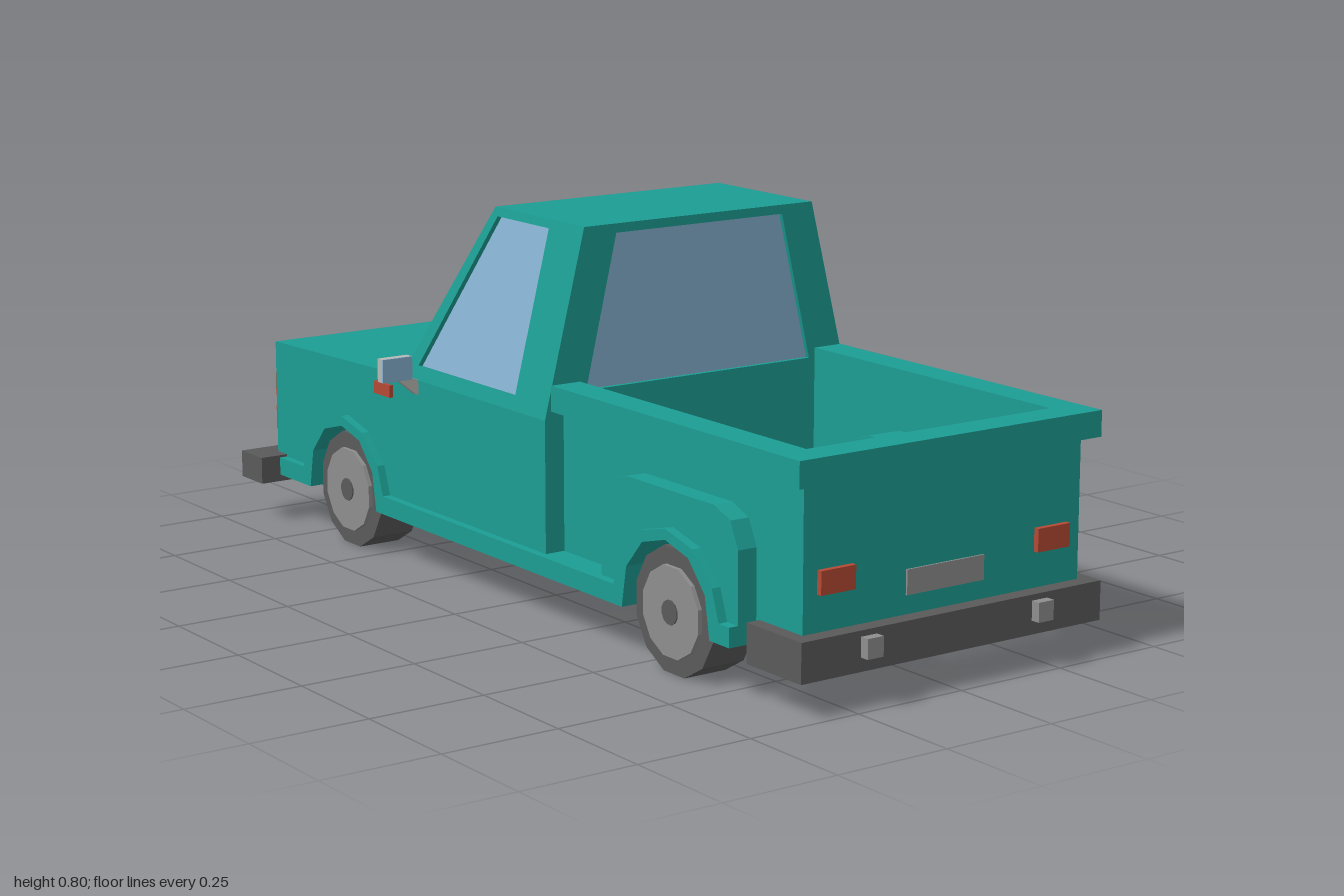
import * as THREE from 'three';

const mat = (name, color, extra = {}) => {
  const m = new THREE.MeshStandardMaterial({ color, ...extra });
  m.name = name;
  return m;
};

export function createModel() {
  const truck = new THREE.Group();
  truck.name = 'pickupTruck';
  const paint = mat('teal paint', 0x1c9d93);
  const glass = mat('blue glass', 0x86b0d0, { side: THREE.DoubleSide });
  const dark = mat('dark grey', 0x5a5a5a);
  const grey = mat('mid grey', 0x8e8e8e);
  const pale = mat('pale grey', 0xb8b8b4);
  const red = mat('red lens', 0xb54a35);

  const add = (name, geo, material) => {
    const mesh = new THREE.Mesh(geo, material);
    mesh.name = name;
    truck.add(mesh);
  };
  // Box given by its limits on each axis
  const box = (name, m, x0, x1, y0, y1, z0, z1) => {
    const g = new THREE.BoxGeometry(x1 - x0, y1 - y0, z1 - z0);
    add(name, g.translate((x0 + x1) / 2, (y0 + y1) / 2, (z0 + z1) / 2), m);
  };
  // The same box on both sides
  const pair = (name, m, x0, x1, ...rest) => {
    box(name + 'Left', m, x0, x1, ...rest);
    box(name + 'Right', m, -x1, -x0, ...rest);
  };
  // Side profile of [z, y] points, extruded from x0 to x1
  const profile = (name, m, pts, x0, x1) => {
    const shape = new THREE.Shape(pts.map(([z, y]) => new THREE.Vector2(-z, y)));
    const g = new THREE.ExtrudeGeometry(shape, { depth: x1 - x0, bevelEnabled: false });
    add(name, g.rotateY(Math.PI / 2).translate(x0, 0, 0), m);
  };
  const profilePair = (name, m, pts, x0, x1) => {
    profile(name + 'Left', m, pts, x0, x1);
    profile(name + 'Right', m, pts, -x1, -x0);
  };

  // Wheel arch outlines, from the rear of the arch to its front
  const REAR = 0.6, FRONT = -0.614, LOW = 0.105, SILL = 0.145;
  const mirrorArch = half => [...half, ...half.slice(0, -1).reverse().map(([z, y]) => [-z, y])];
  const inner = mirrorArch([[0.143, LOW], [0.128, 0.19], [0.075, 0.25], [0, 0.27]]);
  const outer = mirrorArch([[0.172, SILL], [0.15, 0.208], [0.088, 0.27], [0, 0.292]]);
  const at = (arch, z) => arch.map(([a, y]) => [a + z, y]);

  // Hood and lower cab
  profile('lowerBody', paint, [
    [0.165, SILL], ...at(outer, FRONT), [-0.935, SILL], [-0.935, 0.405], [-0.385, 0.42], [0.165, 0.42],
  ], -0.385, 0.385);

  // Sills and wheel arch flares in one ribbon along each side
  const low = [[0.805, LOW], ...at(inner, REAR), ...at(inner, FRONT), [-0.931, LOW]];
  const high = [[0.805, SILL], ...at(outer, REAR), ...at(outer, FRONT), [-0.931, SILL]];
  profilePair('sillAndFlares', paint, [...low, ...high.reverse()], 0.34, 0.403);

  // Bed floor, arching over the rear axle
  const floor = [[0.805, SILL], ...at(outer, REAR), [0.165, SILL]];
  profile('bedFloor', paint, [...floor, ...floor.map(([z, y]) => [z, y - 0.01]).reverse()], -0.34, 0.34);

  // Cab panel through four corners, with an optional window set into it
  const DEPTH = 0.012;
  const panel = (name, corners, hole) => {
    const [o, p, q] = corners;
    const ex = p.clone().sub(o).normalize();
    const n = ex.clone().cross(q.clone().sub(o)).normalize();
    const basis = new THREE.Matrix4().makeBasis(ex, n.clone().cross(ex), n).setPosition(o);
    const inverse = basis.clone().invert();
    const flat = pts => pts.map(c => c.clone().applyMatrix4(inverse)).map(c => new THREE.Vector2(c.x, c.y));
    const shape = new THREE.Shape(flat(corners));
    if (hole) {
      shape.holes.push(new THREE.Path(flat(hole)));
      const pane = new THREE.ShapeGeometry(new THREE.Shape(flat(hole)));
      add(name + 'Window', pane.translate(0, 0, 0.002 - DEPTH).applyMatrix4(basis), glass);
    }
    const g = new THREE.ExtrudeGeometry(shape, { depth: DEPTH, bevelEnabled: false });
    add(name + 'Panel', g.translate(0, 0, -DEPTH).applyMatrix4(basis), paint);
  };
  const v = (x, y, z) => new THREE.Vector3(x, y, z);
  const ROOF = 0.803, BASE = 0.42, BACK = 0.165;
  const half = y => 0.385 - (y - BASE) * 0.097 / (ROOF - BASE);
  const slope = y => -0.385 + (y - BASE) * 0.225 / (ROOF - BASE);
  // Corners run anticlockwise as seen from outside
  panel('rearCab',
    [v(-half(BASE), BASE, BACK), v(half(BASE), BASE, BACK), v(half(ROOF), ROOF, BACK), v(-half(ROOF), ROOF, BACK)],
    [v(-0.285, 0.47, BACK), v(0.285, 0.47, BACK), v(0.21, 0.784, BACK), v(-0.21, 0.784, BACK)]);
  const front = (x, y) => v(x, y, slope(y));
  panel('windshield',
    [front(half(BASE), BASE), front(-half(BASE), BASE), front(-half(ROOF), ROOF), front(half(ROOF), ROOF)],
    [front(0.358, 0.437), front(-0.358, 0.437), front(-0.272, 0.778), front(0.272, 0.778)]);
  panel('roof', [v(-half(ROOF), ROOF, BACK), v(half(ROOF), ROOF, BACK),
    v(half(ROOF), ROOF, slope(ROOF)), v(-half(ROOF), ROOF, slope(ROOF))]);
  for (const s of [1, -1]) {
    const side = pts => {
      const list = pts.map(([z, y]) => v(s * half(y), y, z));
      return s > 0 ? list : list.reverse();
    };
    panel(s > 0 ? 'leftCab' : 'rightCab',
      side([[BACK, BASE], [slope(BASE), BASE], [slope(ROOF), ROOF], [BACK, ROOF]]),
      side([[0.045, 0.45], [-0.328, 0.45], [-0.145, 0.785], [0.045, 0.785]]));
  }

  // Cargo bed: walls, fenders, inner wheel housings, tailgate and rails
  profilePair('bedWall', paint, [
    [0.945, SILL], ...at(outer, REAR), [0.165, SILL], [0.165, 0.44], [0.945, 0.44],
  ], 0.3, 0.34);
  const fender = [
    [0.805, LOW], ...at(inner, REAR), [0.36, LOW], [0.36, 0.29], [0.37, 0.32], [0.405, 0.35],
    [0.45, 0.362], [0.73, 0.362], [0.78, 0.342], [0.805, 0.29],
  ];
  profilePair('fender', paint, fender, 0.34, 0.383);
  profilePair('wheelHousing', paint, fender, 0.22, 0.3);
  box('tailgate', paint, -0.34, 0.34, 0.11, 0.44, 0.9, 0.945);
  pair('sideRail', paint, 0.3, 0.37, 0.437, 0.49, 0.165, 0.97);
  box('tailRail', paint, -0.3, 0.3, 0.437, 0.49, 0.9, 0.97);

  // Wheels: twelve-sided tyres on a full-width axle drum with hub caps
  const drum = (name, m, r, x0, x1, z) => {
    const g = new THREE.CylinderGeometry(r, r, x1 - x0, 12, 1, false, Math.PI / 12).toNonIndexed();
    g.rotateZ(Math.PI / 2).translate((x0 + x1) / 2, 0.125, z);
    g.computeVertexNormals();
    add(name, g, m);
  };
  for (const [end, z] of [['rear', REAR], ['front', FRONT]]) {
    drum(end + 'AxleDrum', grey, 0.093, -0.39, 0.39, z);
    drum(end + 'HubCaps', dark, 0.025, -0.393, 0.393, z);
    drum(end + 'TyreLeft', dark, 0.1294, 0.283, 0.381, z);
    drum(end + 'TyreRight', dark, 0.1294, -0.381, -0.283, z);
  }

  // Rear bumper channel, open below, with guards
  box('rearBumperTop', dark, -0.37, 0.37, 0.14, 0.152, 0.815, 0.98);
  box('rearBumperFace', dark, -0.37, 0.37, 0.072, 0.14, 0.965, 0.98);
  pair('rearBumperEnd', dark, 0.358, 0.37, 0.072, 0.14, 0.815, 0.965);
  pair('bumperGuard', grey, 0.192, 0.23, 0.1, 0.14, 0.945, 1);

  // Tail lights and rear plate
  pair('tailLight', red, 0.225, 0.307, 0.225, 0.272, 0.94, 0.957);
  box('rearPlate', grey, -0.095, 0.095, 0.19, 0.24, 0.942, 0.949);

  // Front bumper, turn lights and plate
  box('frontBumper', dark, -0.45, 0.45, 0.09, 0.15, -0.988, -0.895);
  pair('turnLight', red, 0.335, 0.41, 0.105, 0.135, -1, -0.985);
  box('frontPlate', grey, -0.1, 0.1, 0.05, 0.095, -0.962, -0.961);

  // Stacked headlights with red outer markers
  for (const y of [0.2, 0.277]) {
    pair('headlight', pale, 0.26, 0.369, y, y + 0.052, -0.952, -0.93);
    pair('cornerLight', red, 0.369, 0.377, y, y + 0.052, -0.952, -0.93);
  }

  // Grille: backing, frame and slats
  box('grilleBack', grey, -0.225, 0.225, 0.19, 0.335, -0.939, -0.93);
  pair('grilleSide', grey, 0.213, 0.228, 0.185, 0.34, -0.949, -0.93);
  for (let i = 0; i < 5; i++) {
    const y = 0.185 + i * 0.035;
    box('grilleSlat', grey, -0.213, 0.213, y, y + 0.015, -0.949, -0.93);
  }

  // Side markers
  pair('sideMarker', red, 0.38, 0.394, 0.365, 0.392, -0.487, -0.422);

  // Door mirrors on triangular arms
  pair('mirror', pale, 0.402, 0.474, 0.425, 0.475, -0.335, -0.317);
  pair('mirrorGlass', glass, 0.402, 0.474, 0.425, 0.475, -0.317, -0.313);
  for (const s of [-1, 1]) {
    const arm = new THREE.Shape([[0.38, 0.39], [0.39, 0.39], [0.435, 0.427], [0.402, 0.427], [0.38, 0.42]]
      .map(([x, y]) => new THREE.Vector2(s * x, y)));
    const g = new THREE.ExtrudeGeometry(arm, { depth: 0.016, bevelEnabled: false });
    add(s > 0 ? 'mirrorArmLeft' : 'mirrorArmRight', g.translate(0, 0, -0.334), pale);
  }
  return truck;
}
